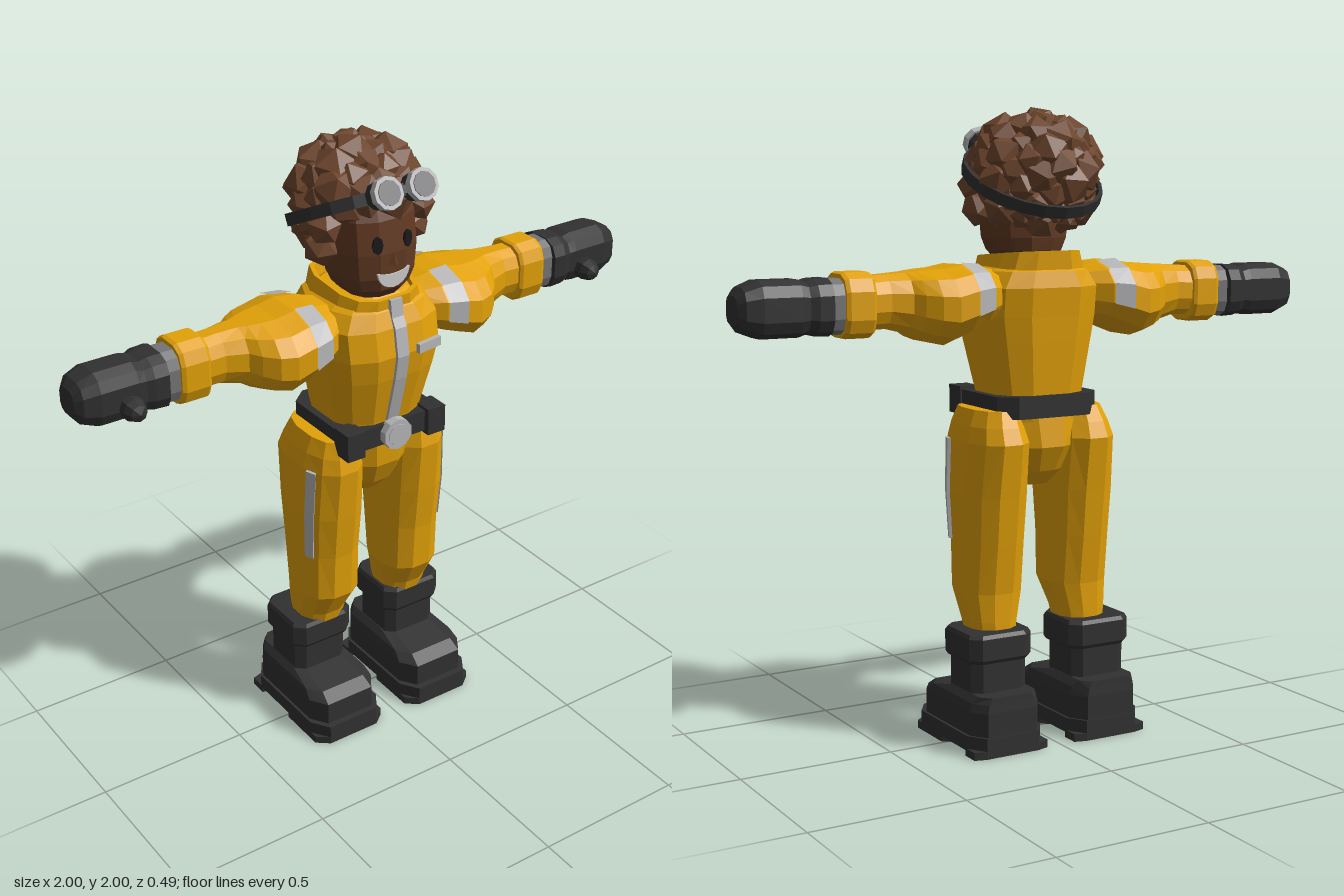
import * as THREE from 'three';

const mat = (name, color) => Object.assign(new THREE.MeshStandardMaterial({ color }), { name });
const M = {
  suit: mat('suit yellow', 0xe2a108), dark: mat('black rubber', 0x313131), grey: mat('grey trim', 0x747476),
  silver: mat('silver', 0xb6b6b8), hair: mat('hair brown', 0x6e462d), skin: mat('skin brown', 0x623a23),
  eye: mat('eye black', 0x1c1a1a), teeth: mat('teeth white', 0xcccccc),
};

// Unit cross-sections: a 12-sided rounded square and a chamfered square
const unit12 = (p) => {
  const f = (c) => Math.sign(c) * Math.abs(c) ** p / Math.cos(Math.PI / 12) ** p;
  return Array.from({ length: 12 }, (_, i) => {
    const a = (i + 0.5) * Math.PI / 6;
    return [f(Math.cos(a)), f(Math.sin(a))];
  });
};
const ROUND = unit12(0.85), SOFT = unit12(0.65);
const BOX = [[1, 0.72], [0.7, 1], [-0.7, 1], [-1, 0.72], [-1, -0.72], [-0.7, -1], [0.7, -1], [1, -0.72]];

// Skin rings together. axis 'y': [y, cx, cz, rx, rz]; axis 'x': [x, cz, cy, rz, ry]
function loft(rings, unit = ROUND, axis = 'y', closed = true) {
  const pos = [], n = unit.length;
  const at = ([s, c1, c2, r1, r2], [u, v]) =>
    axis === 'y' ? [c1 + u * r1, s, c2 + v * r2] : [s, c2 + v * r2, c1 + u * r1];
  for (let k = 0; k < rings.length - 1; k++) {
    for (let i = 0; i < (closed ? n : n - 1); i++) {
      const p = unit[i], q = unit[(i + 1) % n];
      const a = at(rings[k], p), b = at(rings[k], q), c = at(rings[k + 1], q), d = at(rings[k + 1], p);
      pos.push(...a, ...d, ...b, ...b, ...d, ...c);
    }
  }
  if (closed) {
    const lo = rings[0], hi = rings[rings.length - 1];
    const mid = [0, 1].map((k) => unit.reduce((t, p) => t + p[k] / n, 0));
    unit.forEach((p, i) => {
      const q = unit[(i + 1) % n];
      pos.push(...at(lo, mid), ...at(lo, p), ...at(lo, q), ...at(hi, mid), ...at(hi, q), ...at(hi, p));
    });
  }
  const g = new THREE.BufferGeometry();
  g.setAttribute('position', new THREE.Float32BufferAttribute(pos, 3));
  return g;
}

// Bake a transform and give faceted normals
function bake(geo, p = [0, 0, 0], r = [0, 0, 0], s = [1, 1, 1]) {
  const g = geo.index ? geo.toNonIndexed() : geo.clone();
  g.applyMatrix4(new THREE.Matrix4().compose(new THREE.Vector3(...p),
    new THREE.Quaternion().setFromEuler(new THREE.Euler(...r)), new THREE.Vector3(...s)));
  g.computeVertexNormals();
  return g;
}

// Mirror across x, restoring the corner order
function mirror(geo) {
  const g = geo.clone(), a = g.attributes.position;
  for (let i = 0; i < a.count; i += 3) {
    const t = [0, 2, 1].map((k) => [-geo.attributes.position.getX(i + k),
      geo.attributes.position.getY(i + k), geo.attributes.position.getZ(i + k)]);
    t.forEach((v, k) => a.setXYZ(i + k, ...v));
  }
  g.computeVertexNormals();
  return g;
}

function add(parent, name, material, geo, ...tf) {
  const m = new THREE.Mesh(bake(geo, ...tf), material);
  m.name = name;
  parent.add(m);
  return m;
}
function pair(parent, name, material, geo, ...tf) {
  const m = add(parent, name + 'Left', material, geo, ...tf);
  add(parent, name + 'Right', material, mirror(m.geometry));
}
const box = (x, y, z) => new THREE.BoxGeometry(x, y, z);
const disc = (r, h, n = 10) => new THREE.CylinderGeometry(r, r, h, n).rotateX(Math.PI / 2);
const grow = (rings, d) => rings.map(([s, a, b, r1, r2]) => [s, a, b, r1 + d, r2 + d]);

function buildBody(root) {
  // Torso, pelvis and stand-up collar
  add(root, 'torso', M.suit, loft([[1.03, 0, 0, 0.14, 0.14], [1.12, 0, 0.003, 0.155, 0.15],
    [1.28, 0, 0.015, 0.185, 0.178], [1.36, 0, 0.018, 0.2, 0.188], [1.45, 0, 0.005, 0.2, 0.185],
    [1.5, 0, 0, 0.165, 0.168], [1.53, 0, 0, 0.11, 0.12]], SOFT));
  add(root, 'pelvis', M.suit, loft([[0.82, 0, -0.01, 0.05, 0.06], [0.87, 0, -0.01, 0.085, 0.11],
    [0.95, 0, -0.01, 0.125, 0.148], [1.06, 0, 0, 0.15, 0.145]]));
  const collar = loft([[1.47, 0, 0, 0.16, 0.16], [1.55, 0, 0, 0.132, 0.165],
    [1.55, 0, 0, 0.12, 0.15], [1.49, 0, 0, 0.12, 0.14]], SOFT);
  const cp = collar.attributes.position;
  for (let i = 0; i < cp.count; i++) cp.setY(i, cp.getY(i) - cp.getZ(i) * 0.08);
  add(root, 'collar', M.suit, collar);

  // Zip strip down the front, and chest badge
  const zip = [[1.1, 0.158], [1.12, 0.16], [1.28, 0.2], [1.36, 0.213], [1.45, 0.197], [1.48, 0.18], [1.535, 0.172]];
  add(root, 'zip', M.silver, loft(zip.map(([y, z]) => [y, 0, z - 0.01, 0.03, 0.014]),
    [[0.7, -1], [0.7, 1], [-0.7, 1], [-0.7, -1]]));
  add(root, 'chestBadge', M.silver, box(0.09, 0.03, 0.016), [0.1, 1.37, 0.207], [0, 0.15, 0]);

  // Belt with pouches and buckle
  add(root, 'belt', M.dark, loft([[1.045, 0, 0.003, 0.178, 0.165], [1.115, 0, 0.003, 0.178, 0.165]], BOX));
  pair(root, 'pouch', M.dark, box(0.065, 0.09, 0.075), [0.152, 1.08, 0.15]);
  add(root, 'buckle', M.silver, disc(0.052, 0.03), [0, 1.08, 0.178]);
  add(root, 'buckleFace', M.silver, disc(0.036, 0.012), [0, 1.08, 0.19]);
}

function buildArms(root) {
  const sleeve = [[0.13, 0, 1.43, 0.1, 0.07], [0.215, -0.01, 1.425, 0.162, 0.093], [0.28, -0.012, 1.413, 0.178, 0.11],
    [0.34, -0.012, 1.396, 0.176, 0.116], [0.39, -0.012, 1.4, 0.158, 0.109], [0.43, -0.014, 1.406, 0.122, 0.1],
    [0.455, -0.016, 1.412, 0.09, 0.092], [0.52, -0.018, 1.418, 0.07, 0.082], [0.6, -0.02, 1.415, 0.07, 0.08]];
  pair(root, 'sleeve', M.suit, loft(sleeve, ROUND, 'x'));
  // Reflective shoulder bands, front and back, parted at the top
  const band = grow(sleeve.slice(1, 3), 0.007);
  pair(root, 'shoulderBandFront', M.silver, loft(band, [ROUND[11], ...ROUND.slice(0, 3)], 'x', false));
  pair(root, 'shoulderBandBack', M.silver, loft(band, ROUND.slice(3, 7), 'x', false));
  pair(root, 'sleeveCuff', M.suit, loft([[0.575, -0.02, 1.412, 0.078, 0.094], [0.585, -0.02, 1.412, 0.084, 0.099],
    [0.66, -0.02, 1.412, 0.084, 0.099], [0.672, -0.02, 1.412, 0.078, 0.094]], SOFT, 'x'));
  pair(root, 'wristBand', M.grey, loft([[0.66, -0.02, 1.41, 0.07, 0.083], [0.74, -0.02, 1.41, 0.07, 0.083]], SOFT, 'x'));
  // Mitten glove and thumb
  pair(root, 'glove', M.dark, loft([[0.715, -0.022, 1.41, 0.088, 0.086], [0.76, -0.022, 1.41, 0.086, 0.084],
    [0.785, -0.02, 1.41, 0.077, 0.077], [0.81, -0.02, 1.41, 0.08, 0.085], [0.93, -0.02, 1.41, 0.08, 0.085],
    [0.98, -0.02, 1.41, 0.067, 0.066], [1, -0.02, 1.41, 0.045, 0.042]], SOFT, 'x'));
  pair(root, 'thumb', M.dark, new THREE.CapsuleGeometry(0.037, 0.08, 2, 8), [0.842, 1.38, 0.045], [Math.PI / 2, 0, 0]);
}

function buildLegs(root) {
  const leg = [[0.36, 0.163, -0.035, 0.075, 0.085], [0.4, 0.163, -0.03, 0.082, 0.09], [0.49, 0.157, -0.004, 0.1, 0.115],
    [0.65, 0.157, -0.01, 0.1, 0.13], [0.8, 0.157, -0.01, 0.105, 0.147], [0.97, 0.155, -0.015, 0.1, 0.166],
    [1.02, 0.155, -0.01, 0.087, 0.15], [1.07, 0.15, -0.005, 0.07, 0.13]];
  pair(root, 'trouserLeg', M.suit, loft(leg));
  // Side stripe: a raised strip with thin edges
  const mix = (t, s) => [0, 1].map((k) => (ROUND[0][k] * (1 - t) + ROUND[1][k] * t) * s);
  pair(root, 'legStripe', M.silver, loft(grow(leg.slice(3, 6), 0.01),
    [mix(0.24, 0.9), mix(0.24, 1), mix(0.72, 1), mix(0.72, 0.9)]));

  // Boots: shaft, top cuff, foot, and sole with separate heel
  pair(root, 'bootShaft', M.dark, loft([[0.16, 0.183, -0.06, 0.097, 0.093], [0.3, 0.183, -0.06, 0.097, 0.093]], BOX));
  pair(root, 'bootCuff', M.dark, loft([[0.285, 0.182, -0.058, 0.104, 0.102], [0.297, 0.182, -0.058, 0.111, 0.109],
    [0.365, 0.182, -0.058, 0.111, 0.109], [0.377, 0.182, -0.058, 0.104, 0.102]], BOX));
  pair(root, 'bootFoot', M.dark, loft([[0.06, 0.182, -0.014, 0.123, 0.202], [0.142, 0.182, -0.014, 0.123, 0.202],
    [0.168, 0.182, -0.034, 0.115, 0.18], [0.19, 0.182, -0.098, 0.098, 0.115]], BOX));
  const slab = (y0, y1, back, front) =>
    loft([y0, y1].map((y) => [y, 0.182, (back + front) / 2, 0.132, (front - back) / 2]), BOX);
  pair(root, 'bootSole', M.dark, slab(0.018, 0.066, -0.22, 0.21));
  pair(root, 'bootTread', M.dark, slab(0, 0.025, -0.02, 0.21));
  pair(root, 'bootHeel', M.dark, slab(0, 0.025, -0.22, -0.14));
}

function buildHead(root) {
  add(root, 'neck', M.skin, new THREE.CylinderGeometry(0.085, 0.09, 0.14, 10), [0, 1.51, 0]);
  add(root, 'head', M.skin, loft([[1.53, 0, 0.035, 0.085, 0.09], [1.56, 0, 0.03, 0.112, 0.118], [1.6, 0, 0.03, 0.13, 0.126],
    [1.68, 0, 0.03, 0.138, 0.128], [1.78, 0, 0.02, 0.136, 0.125], [1.88, 0, 0, 0.11, 0.1]]));
  // Face
  pair(root, 'eye', M.eye, disc(1, 1, 8), [0.054, 1.712, 0.153], [0, 0.25, 0], [0.017, 0.028, 0.009]);
  add(root, 'nose', M.skin, new THREE.ConeGeometry(0.026, 0.075, 4), [0, 1.68, 0.146], [-0.08, 0, 0]);
  const m = new THREE.Shape();
  m.moveTo(-0.058, 1.624);
  m.quadraticCurveTo(0, 1.602, 0.058, 1.624);
  m.quadraticCurveTo(0.05, 1.573, 0, 1.57);
  m.quadraticCurveTo(-0.05, 1.573, -0.058, 1.624);
  add(root, 'smile', M.teeth, new THREE.ExtrudeGeometry(m, { depth: 0.009, bevelEnabled: false, curveSegments: 5 }), [0, 0, 0.152]);

  // Curly hair: large faceted clumps over a cap, fuller beside the cheeks
  let seed = 11;
  const rnd = () => (seed = (seed * 16807) % 2147483647) / 2147483647;
  const hair = new THREE.Group();
  hair.name = 'hair';
  root.add(hair);
  const clump = (x, y, z, r) => add(hair, 'hairClump', M.hair, new THREE.IcosahedronGeometry(r, 0),
    [x, y, z], [rnd() * 6, rnd() * 6, rnd() * 6]);
  add(hair, 'hairCap', M.hair, new THREE.IcosahedronGeometry(1, 1), [0, 1.82, -0.055], [0, 0, 0], [0.165, 0.145, 0.15]);
  const N = 84;
  for (let i = 0; i < N; i++) {
    const v = 1 - 2 * (i + 0.5) / N, w = Math.sqrt(1 - v * v), a = i * 2.39996;
    const x = 0.16 * w * Math.cos(a), y = 1.8 + v * (v > 0 ? 0.14 : 0.165), z = -0.04 + 0.144 * w * Math.sin(a);
    const r = 0.05 + 0.028 * rnd();
    if ((z > 0.02 && y < 1.82) || v < -0.88) continue;
    clump(x, y, z, r);
  }
  for (const s of [-1, 1]) {
    clump(s * 0.165, 1.69, 0.02, 0.058);
    clump(s * 0.168, 1.76, 0.045, 0.055);
  }

  // Goggles pushed up on the forehead, with a tilted strap
  const gog = new THREE.Group();
  gog.name = 'goggles';
  gog.position.set(0, 1.78, -0.025);
  gog.rotation.x = -0.46;
  root.add(gog);
  const ring = Array.from({ length: 20 }, (_, i) => [Math.cos(i * Math.PI / 10), Math.sin(i * Math.PI / 10)]);
  const band = [[-0.019, 0.21, 0.218], [-0.019, 0.222, 0.23], [0.019, 0.222, 0.23], [0.019, 0.21, 0.218], [-0.019, 0.21, 0.218]];
  const strap = loft(band.map(([y, rx, rz]) => [y, 0, 0, rx, rz]), [...ring, ring[0]], 'y', false);
  add(gog, 'strap', M.dark, strap);
  add(gog, 'bridge', M.dark, box(0.07, 0.025, 0.025), [0, 0, 0.24]);
  pair(gog, 'goggleCup', M.dark, disc(0.043, 0.05), [0.062, 0, 0.235]);
  pair(gog, 'goggleRim', M.silver, disc(0.05, 0.024), [0.062, 0, 0.262]);
  pair(gog, 'goggleLens', M.grey, disc(0.038, 0.006), [0.062, 0, 0.274]);
}

export function createModel() {
  const root = new THREE.Group();
  root.name = 'figure';
  [buildBody, buildArms, buildLegs, buildHead].forEach((f) => f(root));
  return root;
}
